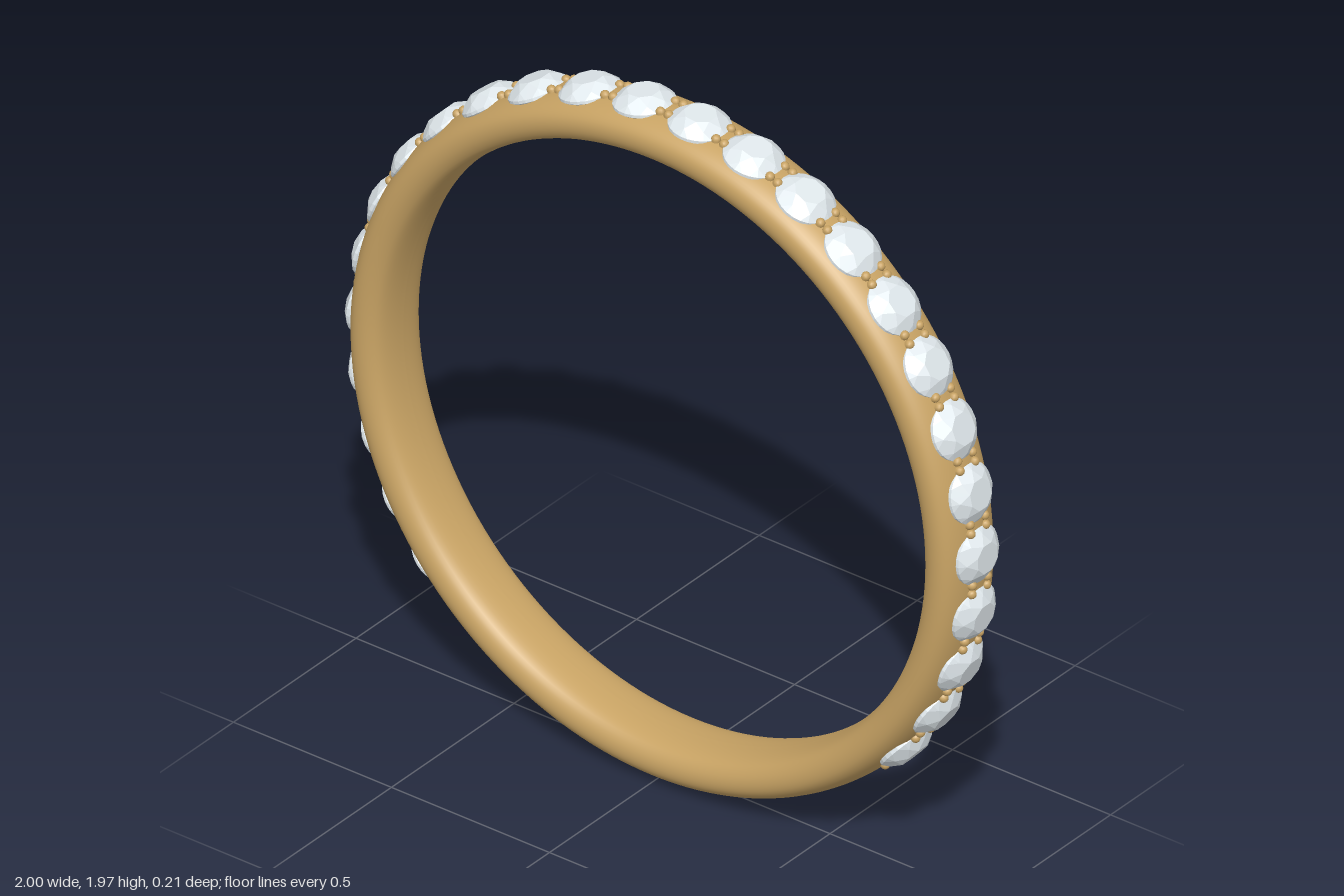
import * as THREE from 'three';
import { ConvexGeometry } from 'three/addons/geometries/ConvexGeometry.js';

const CENTRE_Y = 0.98;
const STONES = 26;
const STEP = (Math.PI * 1.5) / STONES; // stones cover three quarters of the band

// Points of a regular polygon lying flat at height y
function polygon(radius, y, sides, turn = 0) {
  return Array.from({ length: sides }, (_, i) => {
    const a = turn + (i / sides) * Math.PI * 2;
    return new THREE.Vector3(Math.cos(a) * radius, y, Math.sin(a) * radius);
  });
}

// Domed band with a comfort-fit inside, turned from a closed cross-section
function bandGeometry() {
  const half = [[0.85, 0], [0.854, 0.05], [0.866, 0.083], [0.888, 0.1], [0.912, 0.105],
    [0.934, 0.1], [0.953, 0.083], [0.968, 0.05], [0.975, 0]];
  const lower = half.map(([r, z]) => new THREE.Vector3(r, -z, 0));
  const upper = half.slice(1, -1).reverse().map(([r, z]) => new THREE.Vector3(r, z, 0));
  const loop = new THREE.CatmullRomCurve3([...lower, ...upper], true);
  const profile = loop.getPoints(48).map((p) => new THREE.Vector2(p.x, p.y));
  return new THREE.LatheGeometry(profile, 160).rotateX(Math.PI / 2);
}

// Round brilliant: octagonal table, faceted crown, thin girdle, pointed pavilion
function stoneGeometry() {
  return new ConvexGeometry([
    ...polygon(0.043, 1.0, 8, Math.PI / 8),
    ...polygon(0.066, 0.985, 8),
    ...polygon(0.081, 0.969, 24),
    ...polygon(0.081, 0.961, 24),
    new THREE.Vector3(0, 0.9, 0),
  ]);
}

export function createModel() {
  const ring = new THREE.Group();
  ring.name = 'ring';
  const gold = new THREE.MeshStandardMaterial({ color: 0xc8a364 });
  const gem = new THREE.MeshStandardMaterial({ color: 0xe0e8ec, flatShading: true });

  const band = new THREE.Mesh(bandGeometry(), gold);
  band.name = 'band';
  band.position.y = CENTRE_Y;
  ring.add(band);

  const stoneGeo = stoneGeometry();
  const prongGeo = new THREE.CapsuleGeometry(0.013, 0.03, 4, 10);

  // Each setting is a stone held by four prongs, swung round the band's axis
  for (let i = 0; i < STONES; i++) {
    const setting = new THREE.Group();
    setting.name = `setting${i + 1}`;
    setting.position.y = CENTRE_Y;
    setting.rotation.z = -(i - (STONES - 1) / 2) * STEP;

    const stone = new THREE.Mesh(stoneGeo, gem);
    stone.name = 'stone';
    setting.add(stone);

    for (const sx of [-1, 1]) {
      for (const sz of [-1, 1]) {
        const prong = new THREE.Mesh(prongGeo, gold);
        prong.name = 'prong';
        prong.position.set(sx * 0.075, 0.956, sz * 0.03);
        setting.add(prong);
      }
    }
    ring.add(setting);
  }
  return ring;
}
